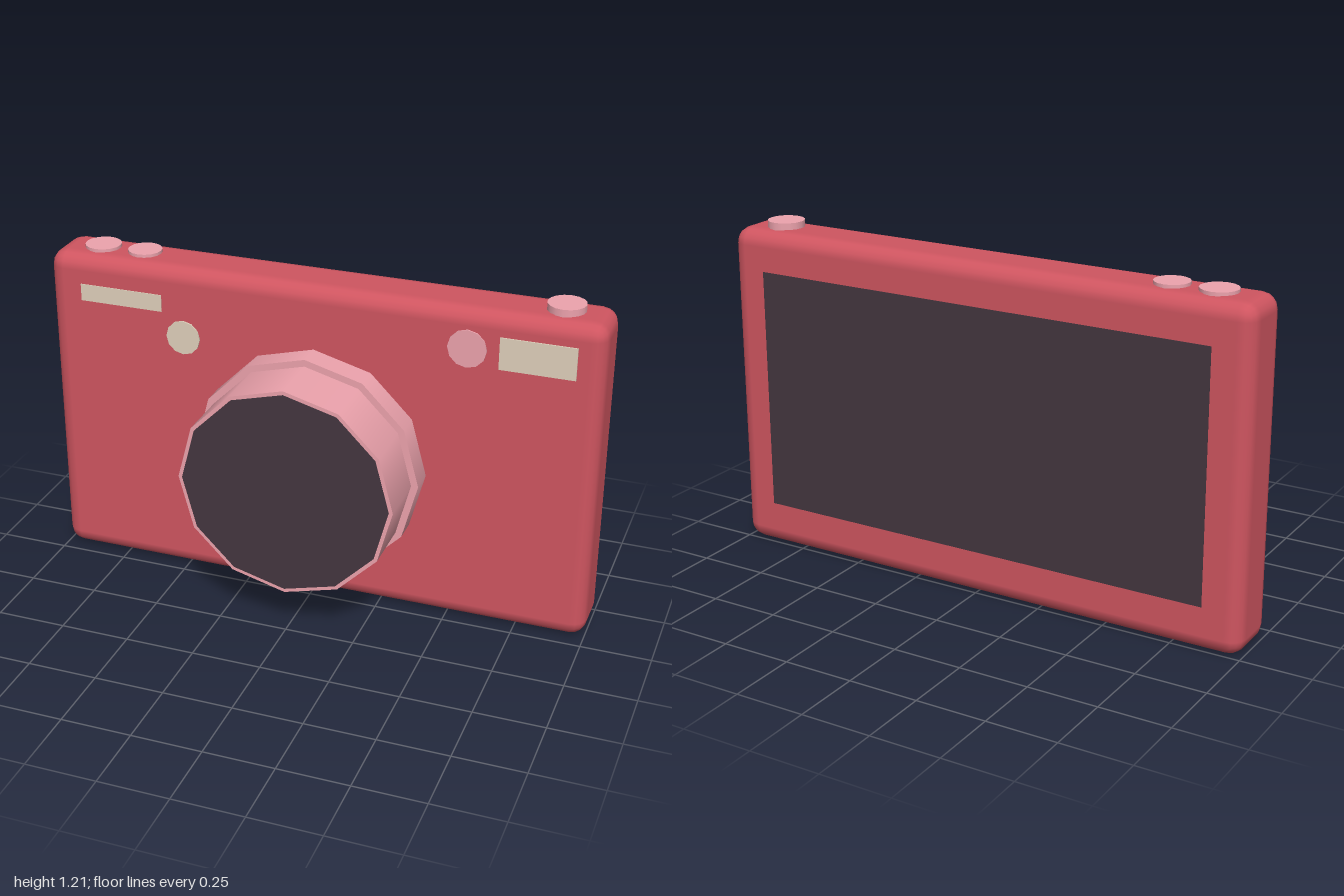
import * as THREE from 'three';
import { RoundedBoxGeometry } from 'three/addons/geometries/RoundedBoxGeometry.js';

const paint = (color) => new THREE.MeshStandardMaterial({ color });

export function createModel() {
  const model = new THREE.Group();
  const red = paint(0xcf5560);
  const pink = paint(0xeda3ad);
  const cream = paint(0xdfd0bb);
  const dark = paint(0x44363f);

  const add = (name, geometry, material, x, y, z) => {
    const mesh = new THREE.Mesh(geometry, material);
    mesh.name = name;
    mesh.position.set(x, y, z);
    model.add(mesh);
    return mesh;
  };

  // Twelve-sided disc or barrel facing +z, between two depths
  const disc = (name, material, x, y, radius, z0, z1) => {
    const geometry = new THREE.CylinderGeometry(radius, radius, z1 - z0, 12);
    geometry.rotateX(Math.PI / 2);
    return add(name, geometry, material, x, y, (z0 + z1) / 2);
  };

  // Thin rectangular plate given by its edges
  const plate = (name, material, x0, x1, y0, y1, z0, z1) =>
    add(name, new THREE.BoxGeometry(x1 - x0, y1 - y0, z1 - z0), material,
      (x0 + x1) / 2, (y0 + y1) / 2, (z0 + z1) / 2);

  // Body with softly rounded edges
  add('body', new RoundedBoxGeometry(2.004, 1.188, 0.228, 2, 0.058), red, 0, 0.592, -0.149);

  // Lens: wide base ring, barrel and dark front glass
  const lensY = 0.547;
  disc('lensRing', pink, 0, lensY, 0.413, -0.06, 0.055);
  disc('lensBarrel', pink, 0, lensY, 0.388, 0.04, 0.26);
  disc('lensGlass', dark, 0, lensY, 0.374, 0.25, 0.262);

  // Windows and lamps on the front
  plate('viewfinderWindow', cream, -0.875, -0.565, 1.018, 1.08, -0.06, -0.032);
  plate('flashWindow', cream, 0.65, 0.91, 0.99, 1.105, -0.06, -0.03);
  disc('sensorLamp', cream, -0.485, 0.932, 0.063, -0.06, -0.029);
  disc('focusLamp', pink, 0.54, 1.048, 0.068, -0.06, -0.03);

  // Buttons along the top: x, radius, top height
  [[-0.835, 0.065, 1.197], [-0.673, 0.061, 1.197], [0.84, 0.066, 1.21]].forEach(([x, r, top], i) => {
    add(`topButton${i + 1}`, new THREE.CylinderGeometry(r, r, top - 1.15, 16), pink,
      x, (top + 1.15) / 2, -0.15);
  });

  // Display on the back
  plate('screen', dark, -0.865, 0.865, 0.16, 1.04, -0.264, -0.24);

  return model;
}
